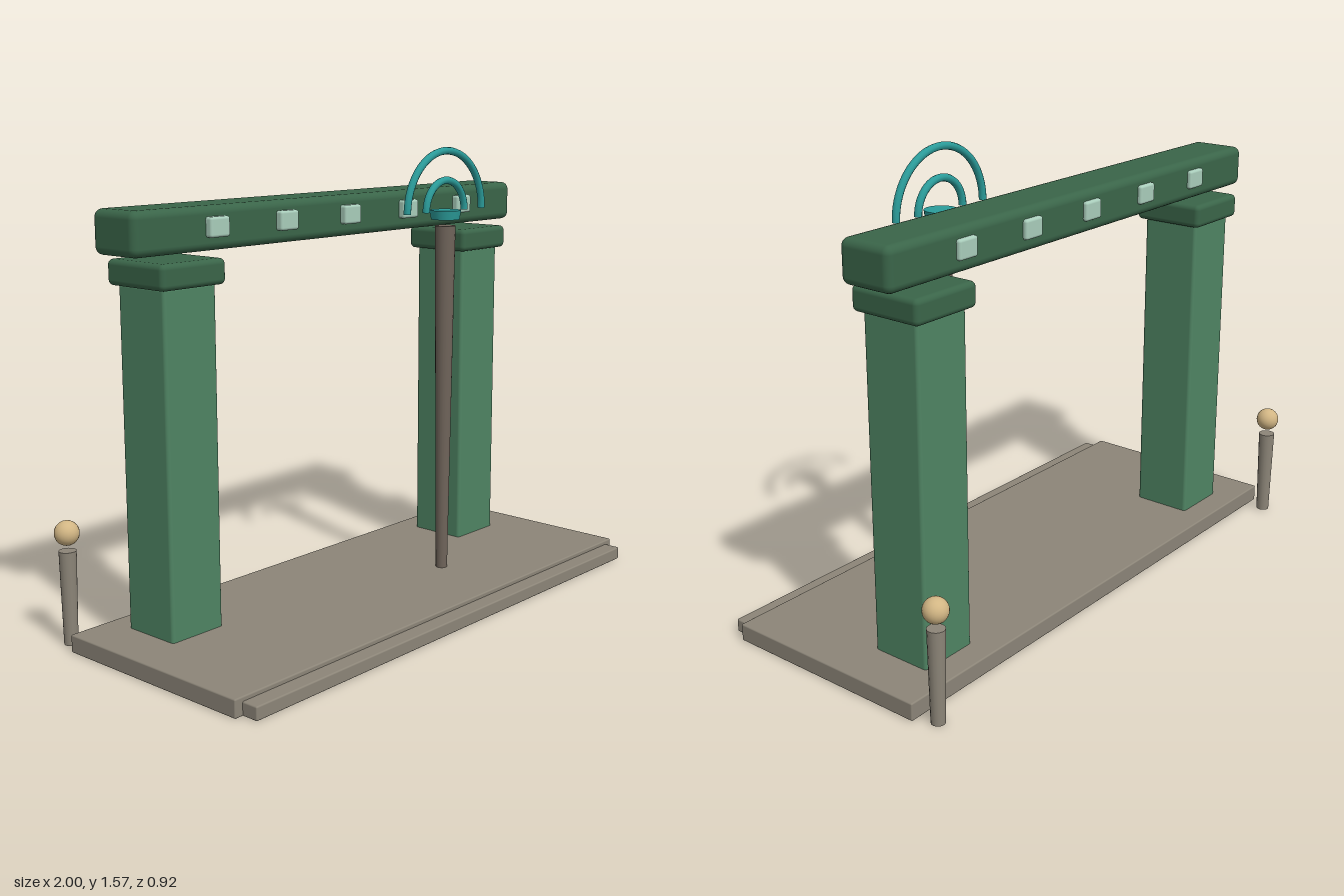
import * as THREE from 'three';
import { RoundedBoxGeometry } from 'three/addons/geometries/RoundedBoxGeometry.js';

const mat = (color) => new THREE.MeshStandardMaterial({ color });

export function createModel() {
  const model = new THREE.Group();
  const stone = mat(0x8c8578), pillarGreen = mat(0x4f8463), darkGreen = mat(0x3a6549);
  const glass = mat(0xa9cdbb), wood = mat(0x6f645a), teal = mat(0x2b9c9a), cream = mat(0xd2b684);

  const add = (name, geometry, material, x, y, z) => {
    const mesh = new THREE.Mesh(geometry, material);
    mesh.name = name;
    mesh.position.set(x, y, z);
    model.add(mesh);
    return mesh;
  };
  const block = (w, h, d, r) => new RoundedBoxGeometry(w, h, d, 3, r);

  // Base slab with a lower front step
  add('baseSlab', block(2, 0.06, 0.755, 0.005), stone, 0, 0.03, 0.0225);
  add('frontStep', block(1.94, 0.045, 0.075, 0.005), stone, 0, 0.0225, 0.42);

  // Pillars, capitals and rear posts, mirrored left and right
  for (const side of [1, -1]) {
    const label = side > 0 ? 'left' : 'right';
    add(label + 'Pillar', block(0.213, 1.16, 0.213, 0.012), pillarGreen, side * 0.73, 0.6, -0.157);
    add(label + 'Capital', block(0.262, 0.082, 0.262, 0.018), darkGreen, side * 0.73, 1.214, -0.157);
    add(label + 'Post', new THREE.CylinderGeometry(0.029, 0.023, 0.315, 16), stone, side * 0.953, 0.1575, -0.417);
    add(label + 'PostBall', new THREE.SphereGeometry(0.041, 24, 16), cream, side * 0.953, 0.374, -0.417);
  }

  // Lintel, with lights showing on both faces
  add('lintel', block(1.87, 0.14, 0.195, 0.026), darkGreen, -0.002, 1.345, -0.157);
  for (let i = -2; i <= 2; i++) {
    for (const face of [1, -1]) {
      add('lintelLight', block(0.082, 0.064, 0.035, 0.009), glass, i * 0.306, 1.35, -0.152 + face * 0.1);
    }
  }

  // Mast with a disc and two signal arcs
  const mx = 0.31, mz = 0.113;
  add('mast', new THREE.CylinderGeometry(0.036, 0.02, 1.28, 20), wood, mx, 0.66, mz);
  add('mastDisc', new THREE.CylinderGeometry(0.055, 0.05, 0.032, 24), teal, mx, 1.338, mz);
  for (const radius of [0.106, 0.207]) {
    const arc = add('signalArc', new THREE.TorusGeometry(radius, 0.013, 10, 48, Math.PI), teal, mx, 1.35, mz);
    arc.material = teal.clone();
    arc.material.side = THREE.DoubleSide;
    // End caps close the tube
    for (const end of [1, -1]) {
      const cap = new THREE.CircleGeometry(0.013, 10).rotateX(Math.PI / 2);
      add('signalArcEnd', cap, teal, mx + end * radius, 1.35, mz);
    }
  }

  return model;
}
